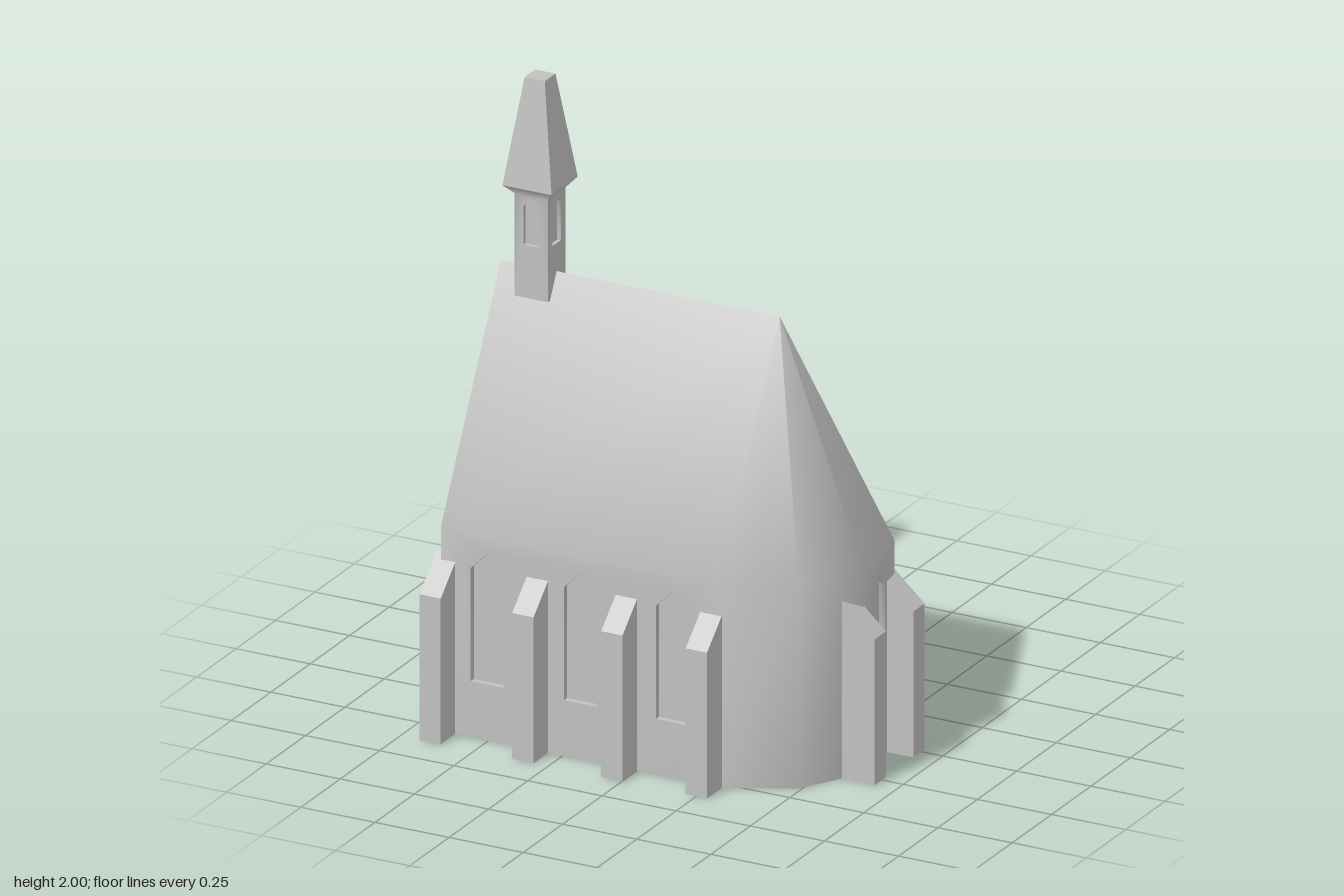
import * as THREE from 'three';
import { mergeGeometries, toCreasedNormals } from 'three/addons/utils/BufferGeometryUtils.js';

const V2 = (x, y) => new THREE.Vector2(x, y);
const stone = new THREE.MeshStandardMaterial({ color: 0xc0c0c0 });
stone.name = 'stone grey';

// Flat polygons given as lists of corners, each split into a fan
function faces(polygons) {
  const pos = [];
  for (const p of polygons)
    for (let i = 1; i < p.length - 1; i++) pos.push(...p[0], ...p[i], ...p[i + 1]);
  const g = new THREE.BufferGeometry();
  g.setAttribute('position', new THREE.Float32BufferAttribute(pos, 3));
  return g;
}

function shapeFaces(shape) {
  const g = new THREE.ShapeGeometry(shape).toNonIndexed();
  g.deleteAttribute('uv');
  g.deleteAttribute('normal');
  return g;
}

// Pointed window outline, counter-clockwise: centre, half width, sill, shoulder, tip
const pointed = (c, h, sill, shoulder, tip) =>
  [V2(c - h, sill), V2(c + h, sill), V2(c + h, shoulder), V2(c, tip), V2(c - h, shoulder)];

// Upright wall from ground point a to b ([x, z]) with recessed windows
function wall(a, b, outline, windows = [], depth = 0.02) {
  const shape = new THREE.Shape(outline);
  const parts = [];
  for (const w of windows) {
    shape.holes.push(new THREE.Path(w));
    parts.push(shapeFaces(new THREE.Shape(w)).translate(0, 0, -depth));
    parts.push(faces(w.map((p, i) => {
      const q = w[(i + 1) % w.length];
      return [[p.x, p.y, 0], [q.x, q.y, 0], [q.x, q.y, -depth], [p.x, p.y, -depth]];
    })));
  }
  parts.push(shapeFaces(shape));
  const u = new THREE.Vector3(b[0] - a[0], 0, b[1] - a[1]).normalize();
  const up = new THREE.Vector3(0, 1, 0);
  const m = new THREE.Matrix4().makeBasis(u, up, u.clone().cross(up)).setPosition(a[0], 0, a[1]);
  return mergeGeometries(parts).applyMatrix4(m);
}

const rect = (len, y0, y1) => [V2(0, y0), V2(len, y0), V2(len, y1), V2(0, y1)];

function add(group, name, geometry) {
  const mesh = new THREE.Mesh(geometry, stone);
  mesh.name = name;
  group.add(mesh);
  return mesh;
}

// Nave with rounded apse: walls and roof shaded as one smooth skin
function naveGeometry() {
  const eave = 0.66, ridge = 1.38, zc = 0.15;
  const plan = [[-0.66, 0.53], [0.28, 0.53], [0.49, 0.425], [0.605, 0.23],
    [0.585, -0.005], [0.44, -0.175], [0.28, -0.228], [-0.66, -0.228]];
  const top = plan.map(([x, z]) => [x, eave, z]);
  const r0 = [-0.66, ridge, zc], r1 = [0.28, ridge, zc];
  const parts = [];
  const roof = [];
  for (let i = 0; i < 7; i++) {
    const a = plan[i], b = plan[i + 1];
    const len = Math.hypot(b[0] - a[0], b[1] - a[1]);
    let windows = [];
    if (i === 0) windows = [-0.505, -0.19, 0.12].map(x => pointed(x + 0.66, 0.055, 0.18, 0.545, 0.6));
    if (i === 3) windows = [pointed(len / 2, 0.048, 0.22, 0.545, 0.59)];
    parts.push(wall(a, b, rect(len, 0, eave), windows));
    const straight = i === 0 || i === 6;
    roof.push(i === 0 ? [top[0], top[1], r1, r0]
      : straight ? [top[6], top[7], r0, r1] : [top[i], top[i + 1], r1]);
  }
  // Gable with doorway
  const w = 0.758, mid = zc + 0.228;
  const gable = [V2(0, 0), V2(w, 0), V2(w, eave), V2(mid, ridge), V2(0, eave)];
  parts.push(wall(plan[7], plan[0], gable, [pointed(mid, 0.055, 0.03, 0.32, 0.38)]));
  parts.push(faces(roof), faces([plan.map(([x, z]) => [x, 0, z]).reverse()]));
  return toCreasedNormals(mergeGeometries(parts), 0.9);
}

// Prism from a side profile, centred across its thickness
function prism(points, thickness) {
  return new THREE.ExtrudeGeometry(new THREE.Shape(points), { depth: thickness, bevelEnabled: false })
    .translate(0, 0, -thickness / 2);
}

// Stacked square rings [half width, height]
function squareRings(rings) {
  const corners = ([h, y]) => [[-h, y, h], [h, y, h], [h, y, -h], [-h, y, -h]];
  const polys = [];
  for (let k = 0; k < rings.length - 1; k++) {
    const lo = corners(rings[k]), hi = corners(rings[k + 1]);
    for (let i = 0; i < 4; i++) {
      const j = (i + 1) % 4;
      polys.push([lo[i], lo[j], hi[j], hi[i]]);
    }
  }
  return { polys, corners };
}

function makeTurret() {
  const turret = new THREE.Group();
  turret.name = 'bellTurret';
  const h = 0.056;
  const c = [[-h, h], [h, h], [h, -h], [-h, -h]];
  // Shaft with a pointed opening on each side, flaring under the spire
  const parts = c.map((a, i) => wall(a, c[(i + 1) % 4], rect(2 * h, 1.3, 1.63),
    [pointed(h, 0.026, 1.47, 1.595, 1.62)], 0.012));
  const flare = squareRings([[h, 1.63], [0.083, 1.66]]);
  parts.push(faces([...flare.polys, flare.corners([h, 1.3]).reverse()]));
  add(turret, 'turretShaft', toCreasedNormals(mergeGeometries(parts), 0.9));
  // Tapering spire with a flat top
  const spire = squareRings([[0.083, 1.66], [0.034, 2]]);
  add(turret, 'spire', toCreasedNormals(faces([...spire.polys, spire.corners([0.034, 2])]), 0.5));
  turret.position.set(-0.528, 0, 0.15);
  return turret;
}

export function createModel() {
  const model = new THREE.Group();
  model.name = 'chapel';
  add(model, 'nave', naveGeometry());

  // Side annex with its own pitched roof
  const annex = prism([V2(-0.262, 0), V2(0.262, 0), V2(0.262, 0.33), V2(0, 0.61), V2(-0.262, 0.33)], 0.4);
  add(model, 'annex', annex).position.set(-0.332, 0, -0.422);

  // Buttresses with sloping tops, profile running outwards along +x
  const buttress = prism([V2(-0.11, 0), V2(0, 0), V2(0, 0.47), V2(-0.11, 0.57)], 0.072);
  for (const x of [-0.648, -0.335, -0.035, 0.25]) {
    const b = add(model, 'frontButtress', buttress);
    b.rotation.y = -Math.PI / 2;
    b.position.set(x, 0, 0.622);
  }
  for (const z of [0.26, 0.015]) add(model, 'apseButtress', buttress).position.set(0.678, 0, z);

  model.add(makeTurret());
  return model;
}
